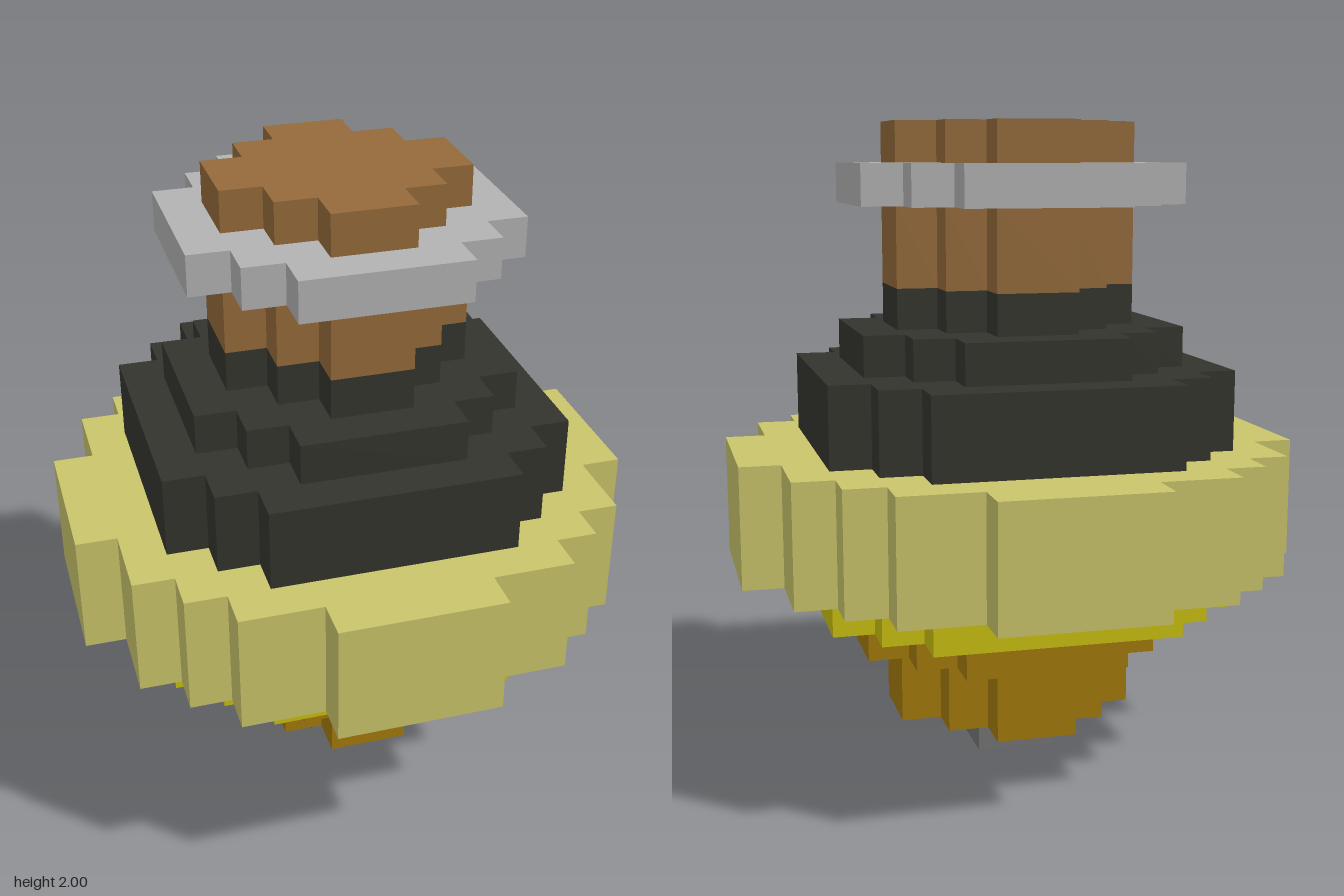
import * as THREE from 'three';

const U = 0.125; // block size

// Stepped quarter outlines as [x, z] outer corners, in blocks
const DISC = {
  1: [[1, 1]],
  3: [[3, 1], [2, 2], [1, 3]],
  4: [[4, 2], [3, 3], [2, 4]],
  5: [[5, 3], [4, 4], [3, 5]],
  7: [[7, 2], [6, 4], [5, 5], [4, 6], [2, 7]],
};

// Full blocky outline: the quarter staircase mirrored into all four quadrants
function outline(radius) {
  const quarter = [];
  let z = 0;
  for (const [x, zTop] of DISC[radius]) {
    if (z > 0) quarter.push([x, z]);
    quarter.push([x, zTop]);
    z = zTop;
  }
  const back = [...quarter].reverse();
  const points = [
    ...quarter,
    ...back.map(([x, y]) => [-x, y]),
    ...quarter.map(([x, y]) => [-x, -y]),
    ...back.map(([x, y]) => [x, -y]),
  ];
  return new THREE.Shape(points.map(([x, y]) => new THREE.Vector2(x * U, y * U)));
}

// Blocky disc standing between two heights, in blocks
function disc(name, radius, bottom, top, material) {
  const geometry = new THREE.ExtrudeGeometry(outline(radius), { depth: (top - bottom) * U, bevelEnabled: false });
  geometry.rotateX(-Math.PI / 2);
  geometry.translate(0, bottom * U, 0);
  const mesh = new THREE.Mesh(geometry, material);
  mesh.name = name;
  return mesh;
}

function paint(name, color) {
  const material = new THREE.MeshStandardMaterial({ color });
  material.name = name;
  return material;
}

export function createModel() {
  const steel = paint('dark grey', 0x747474);
  const amber = paint('amber', 0xa37a0c);
  const yellow = paint('yellow', 0xc9bf0f);
  const khaki = paint('pale khaki', 0xc9c46a);
  const black = paint('charcoal', 0x34342d);
  const brown = paint('cork brown', 0x946a3a);
  const silver = paint('light grey', 0xb2b2b2);

  const model = new THREE.Group();
  model.name = 'blockFlask';
  model.add(
    // Base
    disc('tip', 1, 0, 1, steel),
    disc('lowerBase', 3, 1, 3, amber),
    disc('upperBase', 4, 3, 4, amber),
    // Body
    disc('underBand', 5, 4, 5, yellow),
    disc('wideBody', 7, 5, 8, khaki),
    // Shoulder steps
    disc('lowerShoulder', 5, 8, 10, black),
    disc('middleShoulder', 4, 10, 11, black),
    disc('upperShoulder', 3, 11, 12, black),
    // Neck, collar and cap
    disc('neck', 3, 12, 14, brown),
    disc('collar', 4, 14, 15, silver),
    disc('cap', 3, 15, 16, brown),
  );
  return model;
}
